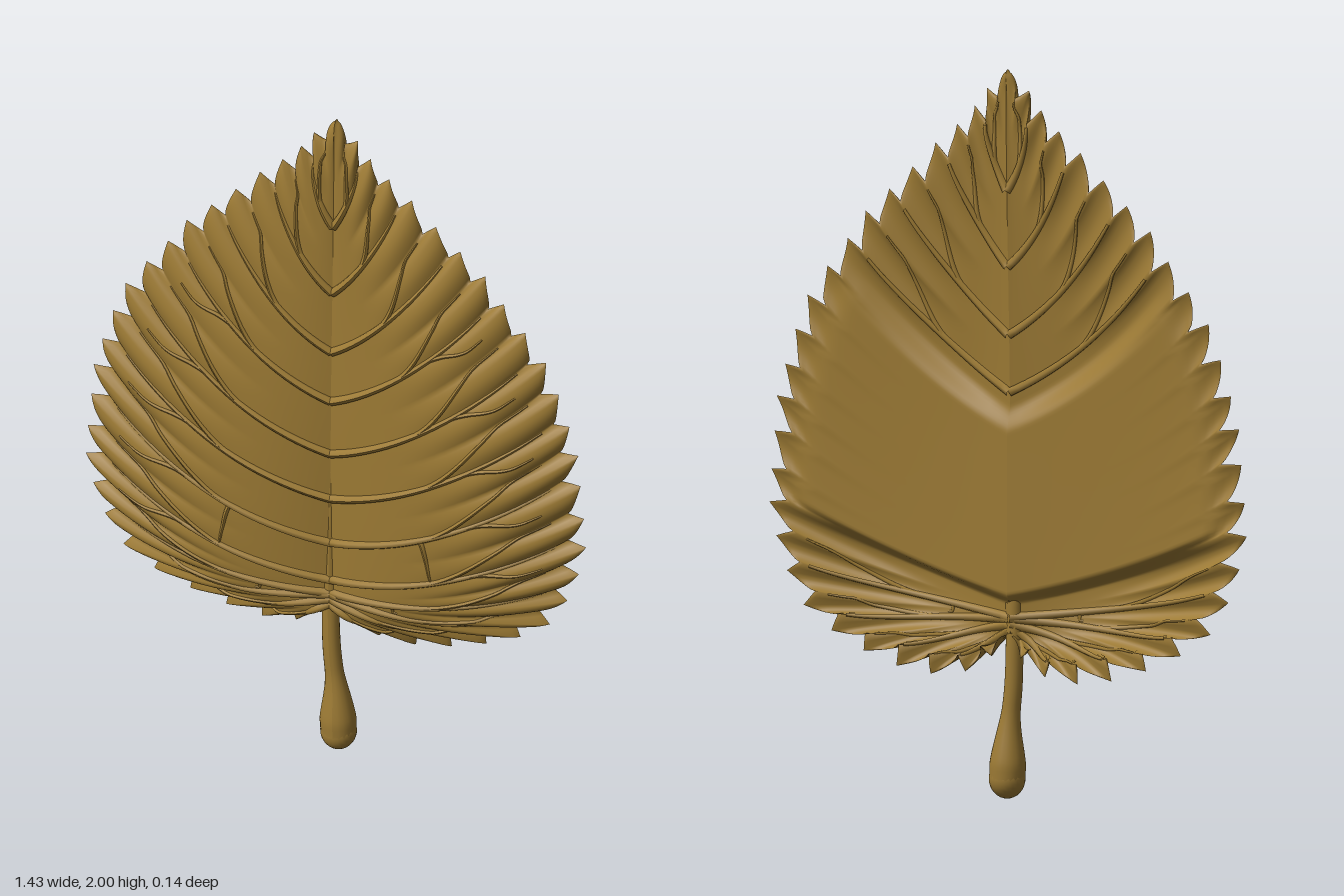
import * as THREE from 'three';

const { smoothstep, lerp, clamp } = THREE.MathUtils;
const TEETH = 26;

// Half outline from the notch to the tip: edge x, edge y, and the midrib height its vein row starts from
const KEYS = [
  [0.015, 0.45, 0.45], [0.08, 0.39, 0.46], [0.2, 0.36, 0.47], [0.33, 0.385, 0.48], [0.47, 0.43, 0.49],
  [0.58, 0.51, 0.5], [0.65, 0.62, 0.5], [0.68, 0.74, 0.52], [0.685, 0.86, 0.6], [0.67, 1.0, 0.68],
  [0.65, 1.12, 0.78], [0.61, 1.25, 0.88], [0.55, 1.37, 0.98], [0.47, 1.48, 1.1], [0.39, 1.58, 1.2],
  [0.3, 1.67, 1.32], [0.2, 1.76, 1.45], [0.12, 1.84, 1.58], [0.055, 1.91, 1.75], [0, 2.0, 1.95],
];
const LAST = KEYS.length - 1;
const outline = new THREE.CatmullRomCurve3(KEYS.map((p) => new THREE.Vector3(...p)));
const bump = (k, c, w) => Math.exp(-(((k - c) / w) ** 2));
const midribZ = (y) => -0.028 * smoothstep(y, 0.9, 2);

// Point on the blade: u runs from midrib to edge, k along the outline keys;
// side is +1 or -1 for the halves, face +1 for the front and -1 for the back
function blade(u, k, side, face) {
  const t = clamp(k / LAST, 0, 1);
  const o = outline.getPoint(t);
  const d = outline.getTangent(t);
  const len = Math.hypot(d.x, d.y) || 1;
  const tx = d.x / len, ty = d.y / len;

  // curved vein row
  const a = 2 * u * (1 - u), b = u * u;
  let x = a * o.x * 0.5 + b * o.x;
  let y = (1 - u) ** 2 * o.z + a * lerp(o.z, o.y, 0.3) + b * o.y;

  // forward-leaning teeth
  const n = t * TEETH;
  const p = n - Math.floor(n);
  const tooth = p < 0.8 ? Math.pow(p / 0.8, 0.75) : (1 - p) / 0.2;
  const fade = Math.min(1, k, LAST - k) * u ** 5;
  const size = Math.floor(n) % 3 === 0 ? 0.062 : 0.048;
  const out = size * (tooth - 0.5) * fade;
  const lean = 0.014 * tooth * fade;
  x = Math.max(0, x + ty * out + tx * lean);
  y += -tx * out + ty * lean;

  // cupped relief with ribs running into the teeth
  const edgeZ = -0.032 - 0.026 * bump(k, 2.5, 2);
  const smooth = lerp(midribZ(o.z), edgeZ, b) + 0.056 * bump(k, 8, 6.5) * Math.sin(Math.PI * u ** 0.9);
  const rib = 0.014 * (Math.abs(Math.sin(Math.PI * p)) - 0.4) * smoothstep(u, 0.3, 0.9) * Math.min(1, k, LAST - k);
  const half = 0.015 * Math.sqrt(Math.max(0, 1 - u ** 8)) * smoothstep(k, 0, 0.5);
  let z = smooth + rib + face * half;

  // thick smooth band across the back
  if (face < 0) {
    const w = smoothstep(k, 7.2, 7.6) * (1 - smoothstep(k, 12.2, 12.8)) * (1 - smoothstep(u, 0.86, 0.98));
    z = lerp(z, smooth * 0.3 - 0.036, w);
  }
  return new THREE.Vector3(side * x, y, z);
}

function bladeGeometry(side, face) {
  const rows = TEETH * 10, cols = 24;
  const pos = [], index = [];
  for (let i = 0; i <= rows; i++) {
    for (let j = 0; j <= cols; j++) {
      const u = 1 - (1 - j / cols) ** 1.5;
      pos.push(...blade(u, (LAST * i) / rows, side, face).toArray());
      if (i === rows || j === cols) continue;
      const a = i * (cols + 1) + j, b = a + 1, c = a + cols + 1, d = c + 1;
      if (side * face > 0) index.push(a, b, c, b, d, c);
      else index.push(a, c, b, b, c, d);
    }
  }
  const g = new THREE.BufferGeometry();
  g.setAttribute('position', new THREE.Float32BufferAttribute(pos, 3));
  g.setIndex(index);
  g.computeVertexNormals();
  return g;
}

// Tube whose radius follows radiusAt(0..1)
function taperedTube(points, radiusAt, steps, sides) {
  const curve = new THREE.CatmullRomCurve3(points);
  const g = new THREE.TubeGeometry(curve, steps, 1, sides);
  const pos = g.attributes.position;
  const v = new THREE.Vector3();
  for (let i = 0; i <= steps; i++) {
    const c = curve.getPointAt(i / steps);
    for (let j = 0; j <= sides; j++) {
      const n = i * (sides + 1) + j;
      v.fromBufferAttribute(pos, n).sub(c).multiplyScalar(radiusAt(i / steps)).add(c);
      pos.setXYZ(n, v.x, v.y, v.z);
    }
  }
  g.computeVertexNormals();
  return g;
}

export function createModel() {
  const model = new THREE.Group();
  model.name = 'leaf';
  const bronze = new THREE.MeshStandardMaterial({ color: 0x9c7a34 });
  bronze.name = 'bronze';
  const add = (name, geometry, parent = model) => {
    const m = new THREE.Mesh(geometry, bronze);
    m.name = name;
    parent.add(m);
    return m;
  };

  // Vein paths as [u0, k0, u1, k1, radius]
  const step = LAST / TEETH;
  const veins = [];
  for (const j of [2, 4, 6, 8, 10, 12, 14, 16, 18, 20, 22, 24]) {
    const k = j * step;
    veins.push([0, k, 0.95, k, 0.013]);
    veins.push([0.42, k, 0.93, k + step, 0.008]);
    if (j > 8 && j < 20) veins.push([0.6, k, 0.88, k - step * 0.5, 0.007]);
  }
  // cross veins in the lower middle
  veins.push([0.4, 12 * step, 0.46, 10 * step, 0.008]);
  veins.push([0.28, 8 * step, 0.36, 6.6 * step, 0.007]);

  for (const side of [1, -1]) {
    const half = new THREE.Group();
    half.name = side > 0 ? 'leftHalf' : 'rightHalf';
    model.add(half);
    for (const face of [1, -1]) {
      const label = face > 0 ? 'Front' : 'Back';
      add('blade' + label, bladeGeometry(side, face), half);
      for (const [u0, k0, u1, k1, r] of veins) {
        // the thick band on the back carries no veins
        if (face < 0 && Math.max(k0, k1) > 6.9 && Math.min(k0, k1) < 12.9) continue;
        const pts = [];
        for (let i = 0; i <= 12; i++) {
          const s = i / 12;
          pts.push(blade(lerp(u0, u1, s), lerp(k0, k1, smoothstep(s, 0, 0.8)), side, face));
        }
        add('vein' + label, taperedTube(pts, (s) => r * (1 - 0.65 * s), 20, 6), half);
      }
    }
  }

  // Midrib, showing on both faces
  const rib = [];
  for (let y = 0.46; y < 1.97; y += 0.1) rib.push(new THREE.Vector3(-0.005 * (1 - smoothstep(y, 0.5, 1)), y, midribZ(y)));
  add('midrib', taperedTube(rib, (s) => lerp(0.025, 0.007, Math.sqrt(s)), 40, 12));

  // Stem swelling into a rounded end
  const stem = [[0.02, 0.055, 0.007], [0.014, 0.18, 0.007], [0.0, 0.32, 0.006], [-0.005, 0.47, 0.001], [-0.004, 0.54, 0]];
  add('stem', taperedTube(stem.map((p) => new THREE.Vector3(...p)), (s) => 0.023 + 0.026 * (1 - smoothstep(s, 0, 0.42)) + 0.004 * (1 - s) - 0.004 * (1 - smoothstep(s, 0, 0.1)), 40, 20));
  const end = add('stemEnd', new THREE.SphereGeometry(0.05, 24, 16));
  end.scale.set(1, 1.1, 0.98);
  end.position.set(0.02, 0.055, 0.007);

  return model;
}
